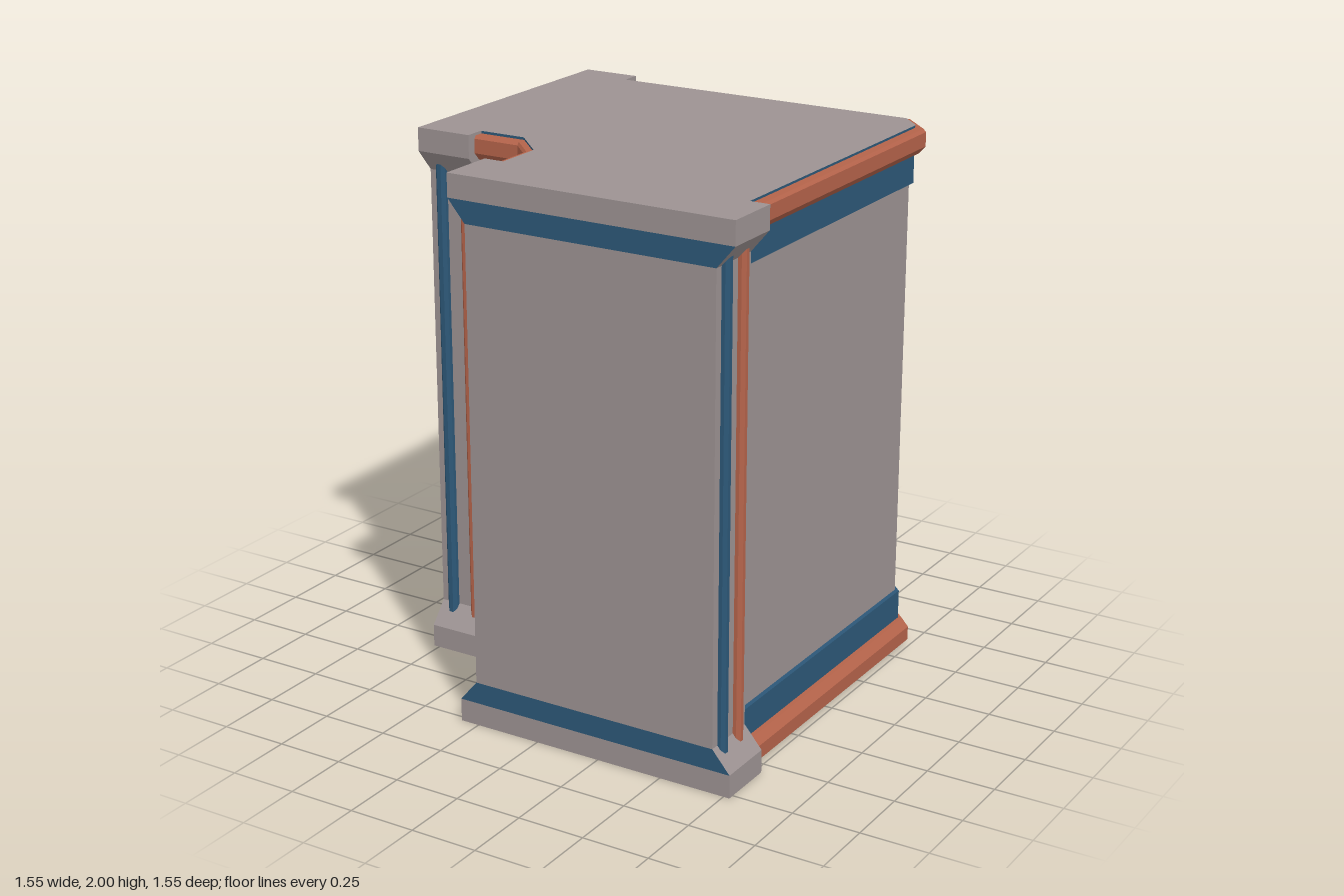
import * as THREE from 'three';

const mat = (name, color) => {
  const m = new THREE.MeshStandardMaterial({ color, side: THREE.DoubleSide, flatShading: true });
  m.name = name;
  return m;
};

// Skin quads between successive rows of [x, y, z] points
function loft(rows) {
  const pos = [];
  for (let i = 0; i < rows.length - 1; i++) {
    for (let j = 0; j < rows[i].length - 1; j++) {
      const a = rows[i][j], b = rows[i + 1][j], c = rows[i + 1][j + 1], d = rows[i][j + 1];
      pos.push(...a, ...b, ...c, ...a, ...c, ...d);
    }
  }
  const g = new THREE.BufferGeometry();
  g.setAttribute('position', new THREE.Float32BufferAttribute(pos, 3));
  g.computeVertexNormals();
  return g;
}

const polygon = (pts) =>
  new THREE.ShapeGeometry(new THREE.Shape(pts.map(([x, y]) => new THREE.Vector2(x, y))));

// Plan lines of the outer and inner walls, pushed outward by d
const outerPath = (d) => {
  const w = 0.68 + d;
  return [[w, 0.556], [w, -0.625], [0.625, -w], [-0.556, -w]];
};
const innerPath = (d) => {
  const w = 0.227 + d;
  return [[-0.556, w], [-0.375, w], [-w, 0.375], [-w, 0.556]];
};

// Sweep a [d, y] profile along a wall line
const sweep = (path, profile) => loft([0, 1, 2, 3].map((i) =>
  profile.map(([d, y]) => {
    const [x, z] = path(d)[i];
    return [x, y, z];
  })));

const flip = (profile) => profile.map(([d, y]) => [d, 2 - y]).reverse();

export function createModel() {
  const grey = mat('warm grey', 0x9c9292);
  const blue = mat('deep blue', 0x2c5777);
  const orange = mat('rust orange', 0xb4634a);
  const model = new THREE.Group();
  model.name = 'cornerModule';

  const add = (parent, name, geometry, material) => {
    const m = new THREE.Mesh(geometry, material);
    m.name = name;
    parent.add(m);
    return m;
  };

  // Walls with blue skirting and orange bumper rails, top and bottom
  const skirting = [[0.017, 0], [0.017, 0.21], [0, 0.21]];
  const rail = [[0.017, 0.01], [0.05, 0.01], [0.06, 0.02], [0.06, 0.072], [0.035, 0.1], [0.017, 0.1]];
  for (const [side, path] of [['outer', outerPath], ['inner', innerPath]]) {
    add(model, side + 'Wall', sweep(path, [[0, 0.21], [0, 1.79]]), grey);
    add(model, side + 'LowerSkirting', sweep(path, skirting), blue);
    add(model, side + 'UpperSkirting', sweep(path, flip(skirting)), blue);
    add(model, side + 'LowerRail', sweep(path, rail), orange);
    add(model, side + 'UpperRail', sweep(path, flip(rail)), orange);
  }

  // Roof covering the corridor and both end frames
  const plan = [
    ...outerPath(0.02), [-0.556, -0.773], [-0.773, -0.773], [-0.773, 0.322], [-0.556, 0.322],
    ...innerPath(0.02), [-0.322, 0.556], [-0.322, 0.773], [0.773, 0.773], [0.773, 0.556],
  ];
  const roof = polygon(plan.map(([x, z]) => [x, -z]));
  roof.rotateX(-Math.PI / 2);
  add(model, 'roof', roof, grey).position.y = 2;

  // End frame, centred on x = 0 and facing +z
  const H = 0.5475, N = 0.48, C = 0.4535, Z0 = 0.556, Z1 = 0.773;
  const edge = [[H, 0], [H, 0.085], [N, 0.165], [N, 1.835], [H, 1.915], [H, 2]];
  const endFrame = (name) => {
    const g = new THREE.Group();
    g.name = name;
    const line = (s, z) => edge.map(([x, y]) => [s * x, y, z]);
    const inner = (s) => edge.map(([, y]) => [s * C, y, Z0]);

    // Recessed sides and the collars closing them against the walls
    add(g, 'leftSide', loft([line(1, Z1), line(1, Z0), inner(1)]), grey);
    add(g, 'rightSide', loft([inner(-1), line(-1, Z0), line(-1, Z1)]), grey);

    // Flat end face in bands
    const bands = ['sill', 'lowerBand', 'endPanel', 'upperBand', 'lintel'];
    bands.forEach((band, i) => {
      const [x0, y0] = edge[i], [x1, y1] = edge[i + 1];
      const face = polygon([[-x0, y0], [x0, y0], [x1, y1], [-x1, y1]]);
      add(g, band, face, band.endsWith('Band') ? blue : grey).position.z = Z1;
    });

    // Vertical pipes half sunk in both sides
    const pipe = new THREE.CylinderGeometry(0.0215, 0.0215, 1.735, 8);
    pipe.rotateY(Math.PI / 8);
    for (const s of [-1, 1]) {
      add(g, 'bluePipe', pipe, blue).position.set(s * 0.485, 1, 0.72);
      add(g, 'orangePipe', pipe, orange).position.set(s * 0.485, 1, 0.617);
    }
    model.add(g);
    return g;
  };

  endFrame('frontEndFrame').position.x = 0.2255;
  const sideEnd = endFrame('sideEndFrame');
  sideEnd.rotation.y = -Math.PI / 2;
  sideEnd.position.z = -0.2255;

  return model;
}
